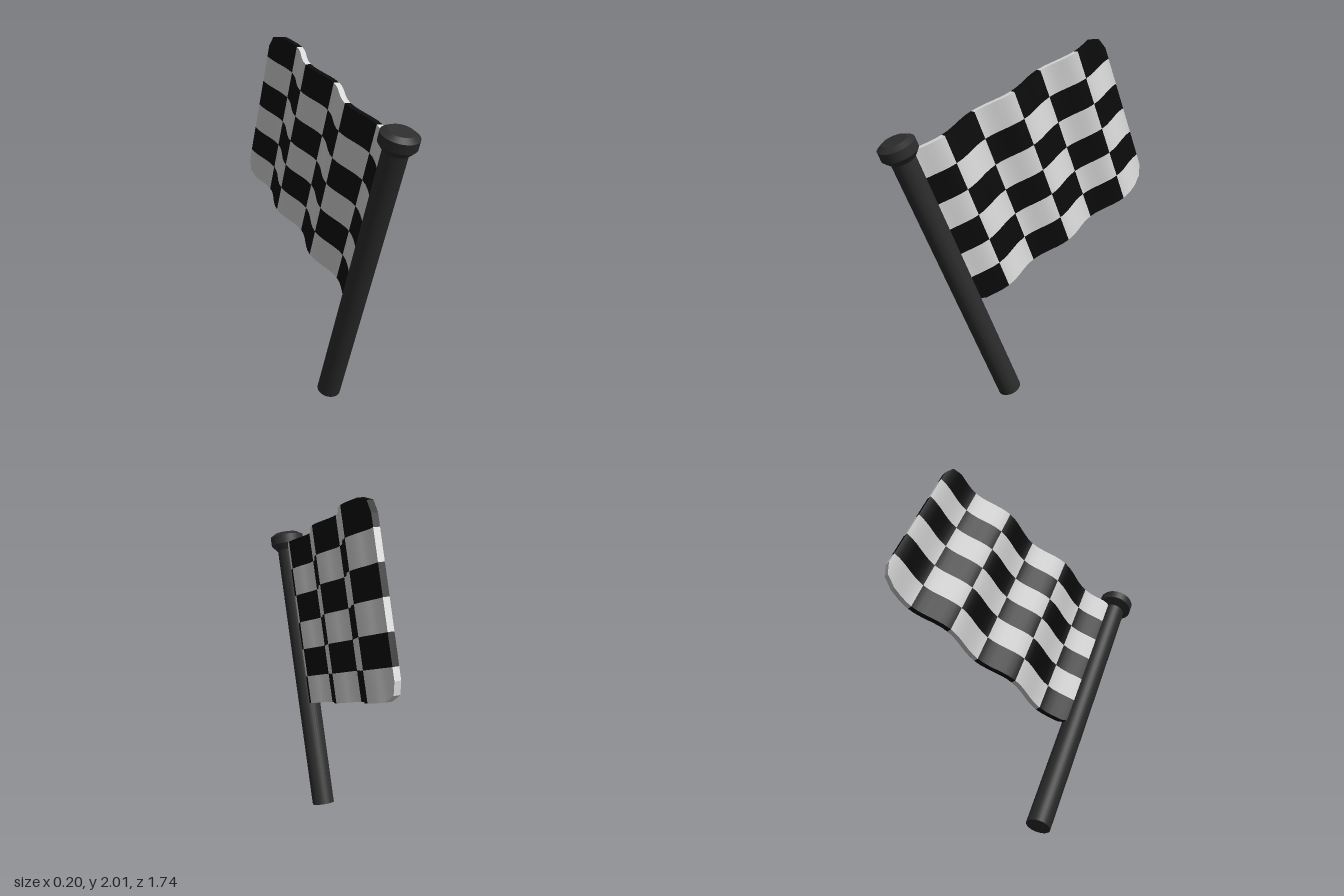
import * as THREE from 'three';
import { mergeGeometries } from 'three/addons/utils/BufferGeometryUtils.js';

const black = new THREE.MeshStandardMaterial({ color: 0x0b0b0b });
black.name = 'flag black';
const white = new THREE.MeshStandardMaterial({ color: 0xdadada });
white.name = 'flag white';
const charcoal = new THREE.MeshStandardMaterial({ color: 0x2d2d2d });
charcoal.name = 'pole charcoal';

const TILT = THREE.MathUtils.degToRad(23.4);
// Flag extents in the pole's frame: it runs along -z, with y along the pole
const LENGTH = 1.385, BOTTOM = 0.634, TOP = 1.597, HALF = 0.017;
const COLS = 6, ROWS = 6, STEPS = 6;
const CELL = LENGTH / COLS, ROW = (TOP - BOTTOM) / ROWS;

// Ripple across the flag: one wave every two columns
const wave = (u) => 0.015 - 0.028 * Math.cos(Math.PI * u / CELL);
const slope = (u) => 0.028 * Math.PI / CELL * Math.sin(Math.PI * u / CELL);

// How far the rounded corners cut into the height at distance u
function cornerCut(u) {
  const d = Math.min(u, LENGTH - u);
  if (d < 0.028) return 0.094 - d / 0.028 * 0.066;
  return d < 0.093 ? 0.028 * (0.093 - d) / 0.065 : 0;
}

// Collects quads with normals for one colour
function quadBuilder() {
  const pos = [], nor = [];
  return {
    quad(a, b, c, d, na, nb) { // a,b on one side; c,d on the other, counter-clockwise
      const pts = [a, b, c, a, c, d], ns = [na, nb, nb, na, nb, na];
      pts.forEach((p, i) => { pos.push(...p); nor.push(...ns[i]); });
    },
    geometry() {
      const g = new THREE.BufferGeometry();
      g.setAttribute('position', new THREE.Float32BufferAttribute(pos, 3));
      g.setAttribute('normal', new THREE.Float32BufferAttribute(nor, 3));
      return g;
    },
  };
}

function createFlag() {
  const sets = [quadBuilder(), quadBuilder()];
  const point = (u, y, side) => [wave(u) + side * HALF, y, -u];
  const normal = (u, side) => new THREE.Vector3(side, 0, side * slope(u)).normalize().toArray();

  // Sample positions, including the corner breakpoints
  const us = [0.028, 0.093, LENGTH - 0.093, LENGTH - 0.028];
  for (let i = 0; i <= COLS * STEPS; i++) us.push(i * CELL / STEPS);
  us.sort((a, b) => a - b);

  for (let i = 0; i < us.length - 1; i++) {
    const u0 = us[i], u1 = us[i + 1];
    const c0 = cornerCut(u0), c1 = cornerCut(u1);
    const col = Math.min(COLS - 1, Math.floor((u0 + u1) / 2 / CELL));
    for (let row = 0; row < ROWS; row++) {
      const set = sets[(row + col) % 2];
      const first = row === 0, last = row === ROWS - 1;
      const hi = TOP - row * ROW, lo = hi - ROW;
      const h0 = hi - (first ? c0 : 0), h1 = hi - (first ? c1 : 0);
      const l0 = lo + (last ? c0 : 0), l1 = lo + (last ? c1 : 0);
      // Both broad faces
      set.quad(point(u0, l0, 1), point(u1, l1, 1), point(u1, h1, 1), point(u0, h0, 1), normal(u0, 1), normal(u1, 1));
      set.quad(point(u1, l1, -1), point(u0, l0, -1), point(u0, h0, -1), point(u1, h1, -1), normal(u1, -1), normal(u0, -1));
      // Rims along the top and bottom
      if (first) {
        const n = new THREE.Vector3(0, u1 - u0, h1 - h0).normalize().toArray();
        set.quad(point(u0, h0, 1), point(u1, h1, 1), point(u1, h1, -1), point(u0, h0, -1), n, n);
      }
      if (last) {
        const n = new THREE.Vector3(0, u0 - u1, l0 - l1).normalize().toArray();
        set.quad(point(u0, l0, -1), point(u1, l1, -1), point(u1, l1, 1), point(u0, l0, 1), n, n);
      }
      // Rims at the two ends
      if (i === us.length - 2) {
        const n = [0, 0, -1];
        set.quad(point(u1, l1, 1), point(u1, l1, -1), point(u1, h1, -1), point(u1, h1, 1), n, n);
      }
      if (i === 0) {
        const n = [0, 0, 1];
        set.quad(point(u0, l0, -1), point(u0, l0, 1), point(u0, h0, 1), point(u0, h0, -1), n, n);
      }
    }
  }
  const flag = new THREE.Group();
  flag.name = 'flag';
  [['whiteSquares', white], ['blackSquares', black]].forEach(([name, material], i) => {
    const mesh = new THREE.Mesh(sets[i].geometry(), material);
    mesh.name = name;
    flag.add(mesh);
  });
  return flag;
}

// Crisp-edged knob stacked from cone bands
function createKnob() {
  const profile = [[0, 1.585], [0.07, 1.585], [0.1, 1.62], [0.1, 1.672], [0.068, 1.692], [0, 1.692]];
  const bands = [];
  for (let i = 0; i < profile.length - 1; i++) {
    bands.push(new THREE.LatheGeometry([profile[i], profile[i + 1]].map((p) => new THREE.Vector2(...p)), 32));
  }
  const knob = new THREE.Mesh(mergeGeometries(bands), charcoal);
  knob.name = 'knob';
  return knob;
}

export function createModel() {
  const model = new THREE.Group();
  model.name = 'checkeredFlag';

  // Everything leans forward together
  const leaning = new THREE.Group();
  leaning.name = 'leaningFlag';
  leaning.rotation.x = TILT;
  leaning.position.set(0, 0.026, 0.109);

  const pole = new THREE.Mesh(new THREE.CylinderGeometry(0.066, 0.066, 1.62, 32), charcoal);
  pole.name = 'pole';
  pole.position.y = 0.81;

  leaning.add(pole, createKnob(), createFlag());
  model.add(leaning);
  return model;
}
